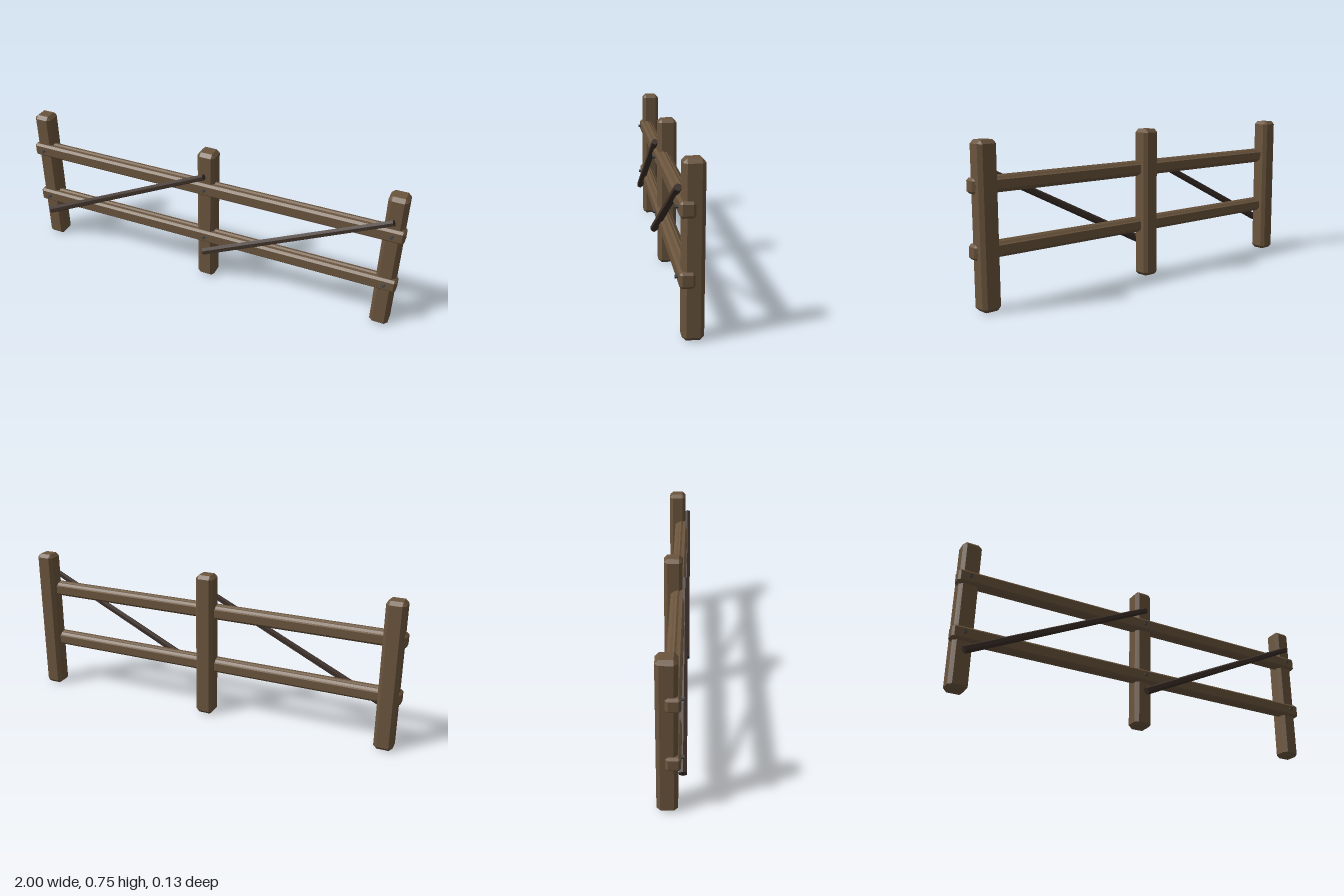
import * as THREE from 'three';
import { ConvexGeometry } from 'three/addons/geometries/ConvexGeometry.js';

const mat = (color) => new THREE.MeshStandardMaterial({ color, flatShading: true });

// Box with every edge and corner cut off by c
function chamferBox(w, h, d, c) {
  const pts = [];
  for (const sx of [-1, 1]) for (const sy of [-1, 1]) for (const sz of [-1, 1]) {
    const x = w / 2, y = h / 2, z = d / 2;
    pts.push(
      new THREE.Vector3(sx * x, sy * (y - c), sz * (z - c)),
      new THREE.Vector3(sx * (x - c), sy * y, sz * (z - c)),
      new THREE.Vector3(sx * (x - c), sy * (y - c), sz * z));
  }
  return new ConvexGeometry(pts);
}

// Six-sided bar between two points, with a ridge on its upper side
function hexBar(from, to, r0, r1) {
  const dir = to.clone().sub(from);
  const geo = new THREE.CylinderGeometry(r1, r0, dir.length(), 6).rotateY(Math.PI / 6);
  geo.applyQuaternion(new THREE.Quaternion().setFromUnitVectors(
    new THREE.Vector3(0, 1, 0), dir.normalize()));
  const mid = from.clone().add(to).multiplyScalar(0.5);
  return geo.translate(mid.x, mid.y, mid.z);
}

export function createModel() {
  const fence = new THREE.Group();
  fence.name = 'fence';
  const wood = mat(0x6b553d), darkWood = mat(0x3d3029), iron = mat(0x45484c);
  const add = (name, geo, material, x = 0, y = 0, z = 0) => {
    const mesh = new THREE.Mesh(geo, material);
    mesh.name = name;
    mesh.position.set(x, y, z);
    fence.add(mesh);
  };
  const postX = [-0.942, 0, 0.942];
  const railY = [0.265, 0.555];
  const V = (x, y, z) => new THREE.Vector3(x, y, z);

  // Posts
  const postGeo = chamferBox(0.093, 0.754, 0.092, 0.017);
  for (const x of postX) add('post', postGeo, wood, x, 0.377, -0.018);

  // Rails: chamfered beam with a ridged core, bolted to each post
  const railGeo = chamferBox(2, 0.069, 0.065, 0.011);
  const coreGeo = hexBar(V(-0.98, 0, 0), V(0.98, 0, 0), 0.04, 0.04);
  const boltGeo = new THREE.CylinderGeometry(0.008, 0.008, 0.016, 8).rotateX(Math.PI / 2);
  for (const y of railY) {
    add('rail', railGeo, wood, 0, y, 0.0085);
    add('railCore', coreGeo, wood, 0, y, 0.004);
    for (const x of postX) add('bolt', boltGeo, iron, x, y + 0.002, 0.046);
  }

  // Diagonal braces, tapering upward
  const braceGeo = hexBar(V(-0.942, 0.177, 0.048), V(0, 0.635, 0.042), 0.02, 0.016);
  for (const x of [0, 0.942]) add('brace', braceGeo, darkWood, x);

  return fence;
}
